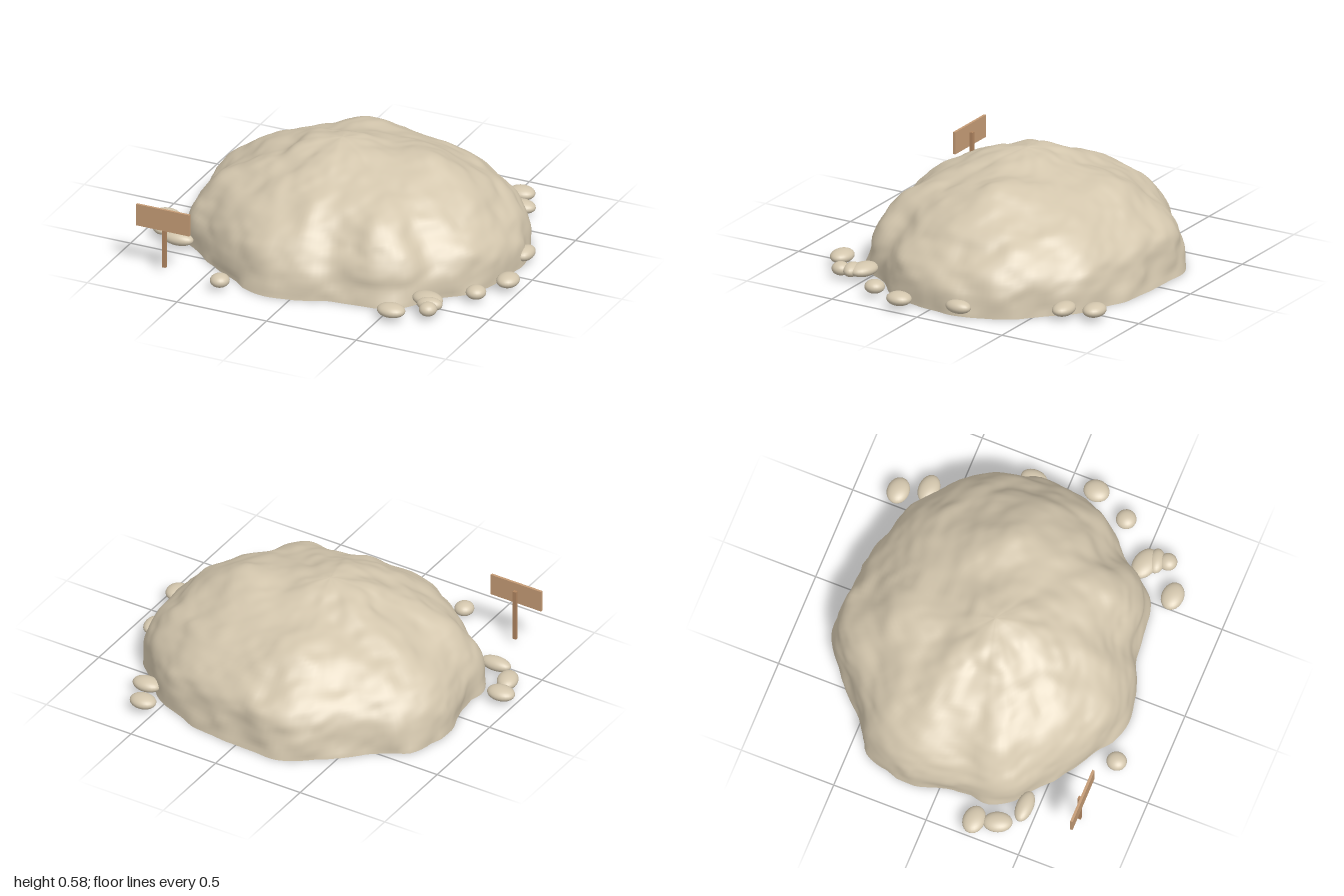
import * as THREE from 'three';

const stone = new THREE.MeshStandardMaterial({ color: 0xd3c6ad });
stone.name = 'sandstone';
const board = new THREE.MeshStandardMaterial({ color: 0xc49b75 });
board.name = 'signWood';
const postWood = new THREE.MeshStandardMaterial({ color: 0xb08560 });
postWood.name = 'postWood';

// Smooth seeded value noise, -1..1
const hash = (x, y, z) => {
  const s = Math.sin(x * 127.1 + y * 311.7 + z * 74.7) * 43758.5453;
  return s - Math.floor(s);
};
function noise(x, y, z) {
  const ix = Math.floor(x), iy = Math.floor(y), iz = Math.floor(z);
  const ease = t => t * t * (3 - 2 * t);
  const u = ease(x - ix), v = ease(y - iy), w = ease(z - iz);
  let sum = 0;
  for (let c = 0; c < 8; c++) {
    const a = c & 1, b = (c >> 1) & 1, d = c >> 2;
    sum += hash(ix + a, iy + b, iz + d) * (a ? u : 1 - u) * (b ? v : 1 - v) * (d ? w : 1 - w);
  }
  return sum * 2 - 1;
}

// Ground outline (x, z)
const OUTLINE = [
  [0.88, 0], [0.84, 0.19], [0.76, 0.31], [0.65, 0.41], [0.58, 0.53], [0.45, 0.62], [0.2, 0.66],
  [0.08, 0.72], [-0.2, 0.74], [-0.35, 0.67], [-0.55, 0.53], [-0.62, 0.46], [-0.75, 0.36],
  [-0.8, 0.25], [-0.79, 0.13], [-0.82, 0], [-0.85, -0.2], [-0.78, -0.4], [-0.6, -0.54],
  [-0.45, -0.67], [-0.28, -0.8], [0, -0.82], [0.25, -0.77], [0.5, -0.7], [0.65, -0.57],
  [0.8, -0.4], [0.87, -0.2],
];
// Fraction of the outline reached at each height, every 45 degrees from +x towards +z
const LEVELS = [0, 0.12, 0.22, 0.3, 0.38, 0.45, 0.5, 0.55, 0.58];
const SLOPES = [
  [1, 0.99, 0.93, 0.84, 0.74, 0.57, 0.38, 0.2, 0],    // left side of the rock
  [1, 0.98, 0.92, 0.84, 0.74, 0.58, 0.38, 0.2, 0],
  [1, 0.96, 0.89, 0.8, 0.68, 0.53, 0.36, 0.22, 0],    // front
  [1, 0.98, 0.92, 0.84, 0.71, 0.53, 0.35, 0.2, 0],
  [1, 0.99, 0.94, 0.84, 0.69, 0.53, 0.35, 0.22, 0],   // right side of the rock
  [1, 0.98, 0.92, 0.82, 0.67, 0.49, 0.33, 0.17, 0],
  [1, 0.97, 0.94, 0.84, 0.69, 0.53, 0.31, 0.15, 0],   // back
  [1, 0.985, 0.94, 0.85, 0.74, 0.57, 0.37, 0.18, 0],
].map(row => new THREE.SplineCurve(row.map((f, i) => new THREE.Vector2(f, LEVELS[i]))));

// Rises and hollows on the top: x, z, height, spread
const HUMPS = [[0.42, -0.1, 0.06, 0.025], [0.17, -0.05, -0.025, 0.02], [-0.12, -0.46, 0.03, 0.025]];

// Blend the two neighbouring slopes for a direction
function slopeAt(angle, t) {
  const k = ((angle / (Math.PI / 4)) + 8) % 8, i = Math.floor(k);
  return SLOPES[i].getPoint(t).lerp(SLOPES[(i + 1) % 8].getPoint(t), THREE.MathUtils.smoothstep(k - i, 0, 1));
}

function createRock() {
  const group = new THREE.Group();
  group.name = 'boulder';
  const segs = 160, rings = 56;
  const outline = new THREE.CatmullRomCurve3(
    OUTLINE.map(([x, z]) => new THREE.Vector3(x, 0, z)), true).getSpacedPoints(segs);

  const pos = [], index = [];
  const id = (i, j) => (i === rings ? rings * segs : i * segs + (j % segs));
  for (let i = 0; i < rings; i++) {
    for (let j = 0; j < segs; j++) {
      const edge = outline[j];
      const { x: f, y } = slopeAt(Math.atan2(edge.z, edge.x), i / rings);
      const x = edge.x * f - 0.06 * (1 - f), z = edge.z * f;
      const lift = HUMPS.reduce((sum, [hx, hz, h, s]) =>
        sum + h * Math.exp(-((x - hx) ** 2 + (z - hz) ** 2) / s), 0);
      pos.push(x, y + lift, z);
      const a = id(i, j), b = id(i, j + 1), c = id(i + 1, j), d = id(i + 1, j + 1);
      index.push(a, c, b);
      if (i < rings - 1) index.push(b, c, d);
    }
  }
  pos.push(-0.06, LEVELS[8], 0);
  const geo = new THREE.BufferGeometry();
  geo.setAttribute('position', new THREE.Float32BufferAttribute(pos, 3));
  geo.setIndex(index);
  geo.computeVertexNormals();

  // Weathered surface: push points along their normals
  const p = geo.attributes.position, n = geo.attributes.normal;
  for (let i = 0; i < p.count; i++) {
    const x = p.getX(i), y = p.getY(i), z = p.getZ(i);
    const d = 0.01 * noise(x * 4 + 5, y * 5, z * 4 + 9)
      + 0.015 * noise(x * 8 + 20, y * 10, z * 8 + 3)
      + 0.005 * noise(x * 18, y * 22 + 7, z * 18);
    const ny = y < 0.03 ? 0 : n.getY(i);
    p.setXYZ(i, x + n.getX(i) * d, Math.max(0, y + ny * d), z + n.getZ(i) * d);
  }
  geo.computeVertexNormals();
  const dome = new THREE.Mesh(geo, stone);
  dome.name = 'rockDome';

  // Flat underside
  const basePos = [0, 0, 0], baseIndex = [];
  for (let j = 0; j < segs; j++) {
    basePos.push(p.getX(j), 0, p.getZ(j));
    baseIndex.push(0, j + 1, ((j + 1) % segs) + 1);
  }
  const baseGeo = new THREE.BufferGeometry();
  baseGeo.setAttribute('position', new THREE.Float32BufferAttribute(basePos, 3));
  baseGeo.setIndex(baseIndex);
  baseGeo.computeVertexNormals();
  const base = new THREE.Mesh(baseGeo, stone);
  base.name = 'rockUnderside';
  group.add(dome, base);
  return group;
}

// Pebbles: x, z, half width, half depth, turn
const PEBBLES = [
  [0.565, -0.78, 0.071, 0.057, 0], [0.63, -0.64, 0.077, 0.054, 0], [0.88, -0.17, 0.046, 0.07, 0],
  [0.935, 0.145, 0.058, 0.067, 0], [0.85, 0.34, 0.052, 0.052, 0], [0.665, 0.515, 0.086, 0.06, -0.2],
  [0.7, 0.565, 0.066, 0.042, 0.2], [0.717, 0.62, 0.046, 0.047, 0], [0.555, 0.71, 0.075, 0.057, 0],
  [-0.368, 0.778, 0.05, 0.052, 0], [-0.765, 0.44, 0.085, 0.044, 0], [-0.893, 0.345, 0.054, 0.075, 0.35],
  [-0.925, 0.23, 0.075, 0.057, 0],
];

function createSign() {
  const sign = new THREE.Group();
  sign.name = 'sign';
  const add = (name, w, h, d, x, y, z, mat) => {
    const mesh = new THREE.Mesh(new THREE.BoxGeometry(w, h, d), mat);
    mesh.name = name;
    mesh.position.set(x, y, z);
    sign.add(mesh);
  };
  add('signBoard', 0.297, 0.118, 0.013, -0.707, 0.295, 0.729, board);
  add('signPost', 0.02, 0.285, 0.018, -0.707, 0.168, 0.715, postWood);
  return sign;
}

export function createModel() {
  const model = new THREE.Group();
  model.name = 'boulderWithSign';
  model.add(createRock(), createSign());

  const pebbles = new THREE.Group();
  pebbles.name = 'pebbles';
  const ball = new THREE.SphereGeometry(1, 24, 16);
  for (const [x, z, rx, rz, turn] of PEBBLES) {
    const pebble = new THREE.Mesh(ball, stone);
    pebble.name = 'pebble';
    pebble.position.set(x, 0.052, z);
    pebble.scale.set(rx, 0.035, rz);
    pebble.rotation.y = turn;
    pebbles.add(pebble);
  }
  model.add(pebbles);
  return model;
}
